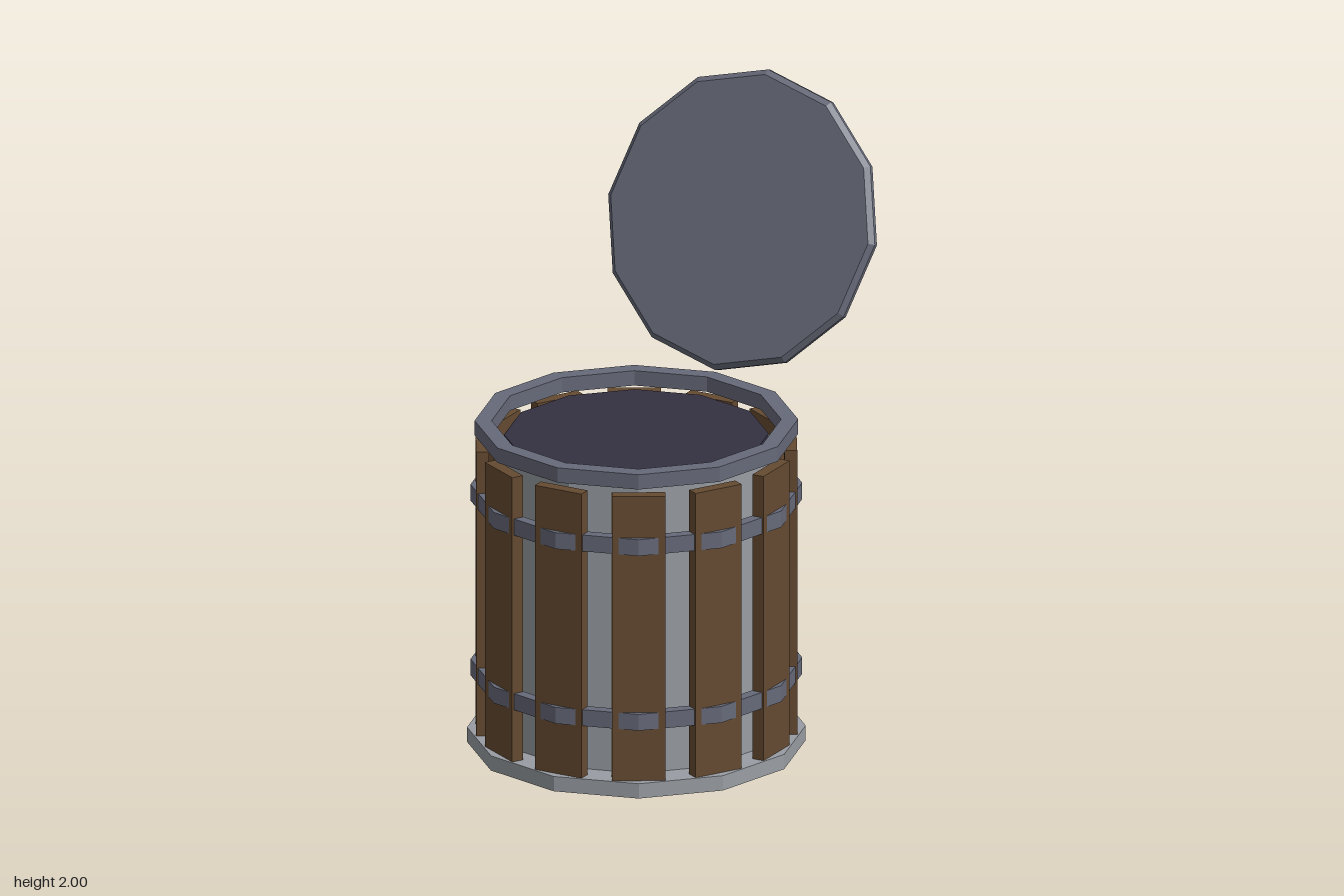
import * as THREE from 'three';

const SIDES = 12;

function makeMaterial(name, color) {
  const m = new THREE.MeshStandardMaterial({ color, flatShading: true });
  m.name = name;
  return m;
}

// Faceted solid of revolution; profile of [radius, height] runs up the outside
function turned(name, profile, material, sides = SIDES) {
  const points = profile.map(([r, y]) => new THREE.Vector2(r, y));
  const mesh = new THREE.Mesh(new THREE.LatheGeometry(points, sides), material);
  mesh.name = name;
  return mesh;
}

// Band with a rectangular section
function ring(name, inner, outer, y0, y1, material) {
  return turned(name, [[inner, y0], [outer, y0], [outer, y1], [inner, y1], [inner, y0]], material);
}

export function createModel() {
  const wood = makeMaterial('brown wood', 0x654a30);
  const iron = makeMaterial('dark iron', 0x666978);
  const steel = makeMaterial('light steel', 0x999da3);
  const dark = makeMaterial('dark contents', 0x343042);

  const model = new THREE.Group();
  model.name = 'barrel with floating lid';

  const barrel = new THREE.Group();
  barrel.name = 'barrel';
  barrel.position.z = 0.163;
  model.add(barrel);

  // Base plate, inner drum and its dark filling
  barrel.add(
    turned('base', [[0, 0], [0.538, 0], [0.538, 0.05], [0, 0.05]], steel),
    turned('drum', [[0.44, 0.05], [0.44, 1.01], [0.42, 1.027], [0, 1.027]], steel),
    turned('contents', [[0.42, 1.027], [0.42, 1.037], [0, 1.037]], dark)
  );

  // Upright staves
  const staves = new THREE.Group();
  staves.name = 'staves';
  const staveGeometry = new THREE.BoxGeometry(0.17, 0.96, 0.04).translate(0, 0.53, 0.49);
  for (let i = 0; i < SIDES; i++) {
    const stave = new THREE.Mesh(staveGeometry, wood);
    stave.name = 'stave';
    stave.rotation.y = (i / SIDES) * Math.PI * 2;
    staves.add(stave);
  }
  barrel.add(staves);

  // Hoops whose corners break through the staves, and the top rim
  barrel.add(
    ring('lowerHoop', 0.49, 0.527, 0.225, 0.28, iron),
    ring('upperHoop', 0.49, 0.527, 0.815, 0.87, iron),
    ring('rim', 0.46, 0.514, 1.035, 1.085, iron)
  );

  // Tilted lid with a knob on its back
  const lid = new THREE.Group();
  lid.name = 'lid';
  lid.position.set(0, 1.545, -0.522);
  lid.rotation.x = THREE.MathUtils.degToRad(69);
  lid.add(
    turned('lidPlate', [[0, -0.015], [0.485, -0.015], [0.485, 0], [0.468, 0.015], [0, 0.015]], iron),
    turned('knob', [[0, -0.07], [0.05, -0.07], [0.066, -0.058], [0.066, -0.034], [0.05, -0.015]], steel, 8)
  );
  model.add(lid);

  return model;
}
